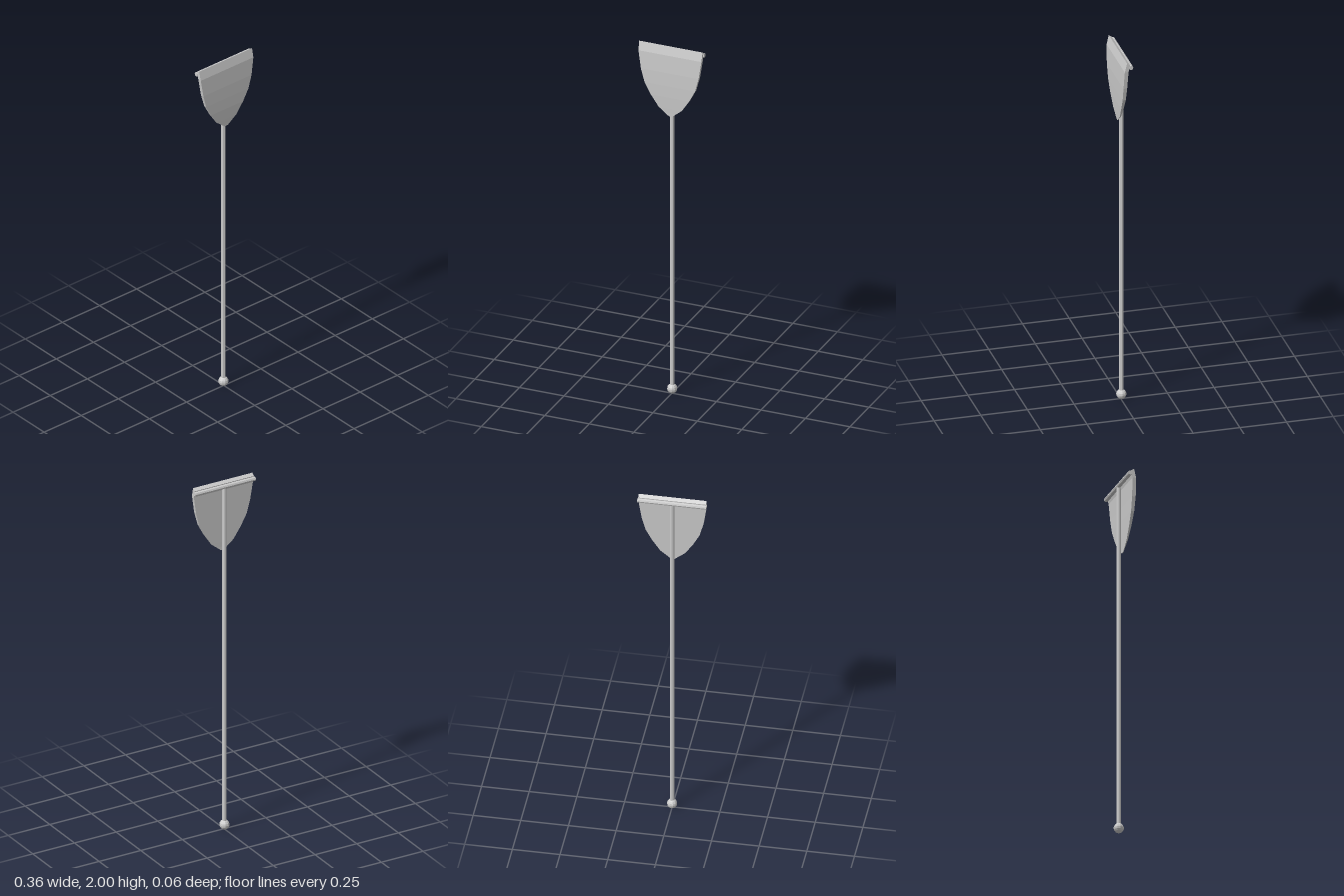
import * as THREE from 'three';

const grey = new THREE.MeshStandardMaterial({ color: 0xcccccc, flatShading: true });

function part(name, geometry, x = 0, y = 0, z = 0) {
  const mesh = new THREE.Mesh(geometry, grey);
  mesh.name = name;
  mesh.position.set(x, y, z);
  return mesh;
}

// Thick shield-shaped panel: four-cornered sections stacked from top to tip
function panelGeometry() {
  // [half width, front y, front z, back y, back z]
  const rows = [
    [0.178, 2.0, 0.015, 1.988, -0.002],
    [0.177, 1.95, 0.027, 1.95, 0.007],
    [0.162, 1.85, 0.03, 1.85, 0.01],
    [0.142, 1.775, 0.029, 1.775, 0.012],
    [0.108, 1.71, 0.027, 1.71, 0.014],
    [0.065, 1.645, 0.023, 1.645, 0.016],
    [0.032, 1.618, 0.021, 1.618, 0.017],
    [0.01, 1.6, 0.02, 1.6, 0.017],
  ];
  const positions = [];
  const index = [];
  for (const [w, fy, fz, by, bz] of rows) {
    positions.push(-w, fy, fz, w, fy, fz, w, by, bz, -w, by, bz);
  }
  for (let i = 0; i < rows.length - 1; i++) {
    for (let j = 0; j < 4; j++) {
      const a = i * 4 + j;
      const b = i * 4 + ((j + 1) % 4);
      index.push(a, a + 4, b, b, a + 4, b + 4);
    }
  }
  // Top and tip caps
  const e = (rows.length - 1) * 4;
  index.push(0, 1, 2, 0, 2, 3, e, e + 2, e + 1, e, e + 3, e + 2);
  const geometry = new THREE.BufferGeometry();
  geometry.setAttribute('position', new THREE.Float32BufferAttribute(positions, 3));
  geometry.setIndex(index);
  geometry.computeVertexNormals();
  return geometry;
}

export function createModel() {
  const model = new THREE.Group();
  model.name = 'banner';

  // Long pole with a ball at its foot
  const ballRadius = 0.027;
  const poleTop = 1.975;
  model.add(part('footBall', new THREE.SphereGeometry(ballRadius, 10, 8), 0, ballRadius, -0.003));
  const poleLength = poleTop - ballRadius;
  model.add(part('pole', new THREE.CylinderGeometry(0.012, 0.012, poleLength, 8),
    0, ballRadius + poleLength / 2, -0.003));

  // Crossbar behind the top of the panel
  const bar = new THREE.CylinderGeometry(0.012, 0.012, 0.362, 8);
  bar.rotateZ(Math.PI / 2);
  model.add(part('crossbar', bar, 0, 1.974, -0.006));

  model.add(part('shieldPanel', panelGeometry()));
  return model;
}
